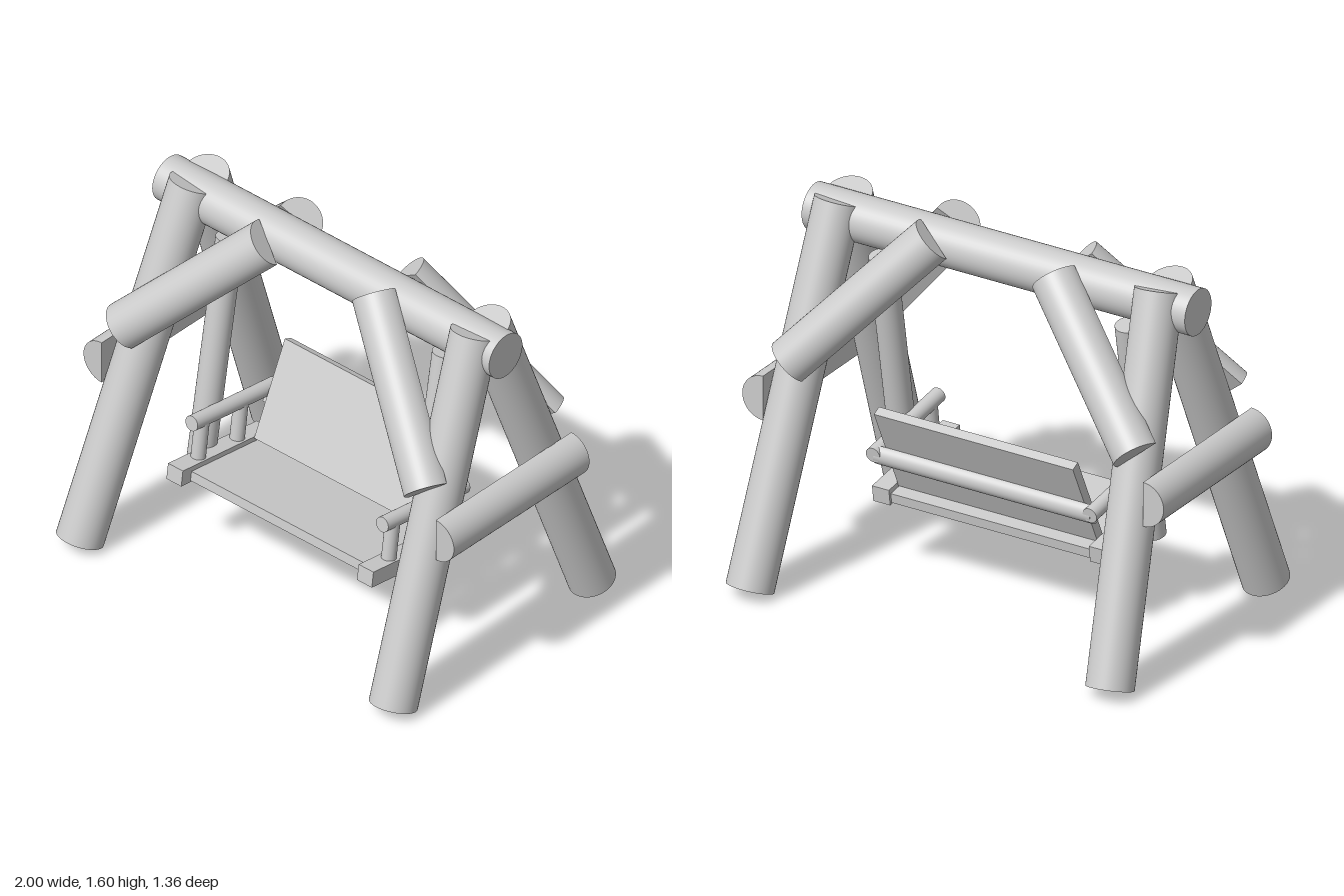
import * as THREE from 'three';
import { mergeGeometries } from 'three/addons/utils/BufferGeometryUtils.js';

const mat = new THREE.MeshStandardMaterial({ color: 0xcccccc });
const V = (x, y, z) => new THREE.Vector3(x, y, z);

function add(parent, name, geometry) {
  const mesh = new THREE.Mesh(geometry, mat);
  mesh.name = name;
  parent.add(mesh);
  return mesh;
}

// Round log running from a to b
function log(parent, name, a, b, r) {
  const mesh = add(parent, name, new THREE.CylinderGeometry(r, r, a.distanceTo(b), 40));
  mesh.position.copy(a).add(b).multiplyScalar(0.5);
  mesh.quaternion.setFromUnitVectors(V(0, 1, 0), b.clone().sub(a).normalize());
  return mesh;
}

// Split log: the flat face lies on the line a-b, the round side faces "out"
function halfLog(parent, name, a, b, r, out) {
  const len = a.distanceTo(b);
  const round = new THREE.CylinderGeometry(r, r, len, 24, 1, false, -Math.PI / 2, Math.PI);
  const flat = new THREE.PlaneGeometry(2 * r, len).rotateY(Math.PI);
  const mesh = add(parent, name, mergeGeometries([round, flat]));
  const y = b.clone().sub(a).normalize();
  const x = y.clone().cross(out).normalize();
  const z = x.clone().cross(y);
  mesh.quaternion.setFromRotationMatrix(new THREE.Matrix4().makeBasis(x, y, z));
  mesh.position.copy(a).add(b).multiplyScalar(0.5);
  return mesh;
}

function box(parent, name, w, h, d, x, y, z) {
  const mesh = add(parent, name, new THREE.BoxGeometry(w, h, d));
  mesh.position.set(x, y, z);
  return mesh;
}

// A-frame of logs
function createFrame() {
  const frame = new THREE.Group();
  frame.name = 'frame';
  log(frame, 'topBeam', V(-0.91, 1.484, 0), V(0.91, 1.484, 0), 0.1);

  // The two sides lean slightly differently
  const sides = [
    { s: -1, front: -0.86, back: -0.865, top: -0.747, braceLow: V(-0.84, 0.972, 0.35), braceHigh: V(-0.29, 1.515, 0.093) },
    { s: 1, front: 0.833, back: 0.845, top: 0.775, braceLow: V(0.808, 0.958, 0.352), braceHigh: V(0.29, 1.533, 0.088) },
  ];
  for (const { s, front, back, top, braceLow, braceHigh } of sides) {
    for (const f of [1, -1]) {
      const foot = f > 0 ? front : back;
      log(frame, f > 0 ? 'frontLeg' : 'backLeg', V(foot, 0.037, 0.587 * f), V(top, 1.559, 0.036 * f), 0.1);
      const flip = V(1, 1, f);
      halfLog(frame, 'cornerBrace', braceLow.clone().multiply(flip), braceHigh.clone().multiply(flip),
        0.1, V(0, 0.43, 0.9 * f));
    }
    halfLog(frame, 'sideRail', V(0.903 * s, 0.79, -0.4), V(0.903 * s, 0.79, 0.41), 0.098, V(s, 0, 0));
  }
  return frame;
}

// Bench, tipped back a little
function createBench() {
  const bench = new THREE.Group();
  bench.name = 'bench';
  bench.position.set(0, 0.382, 0.138);
  bench.rotation.x = THREE.MathUtils.degToRad(-8);

  box(bench, 'seat', 0.945, 0.043, 0.475, 0, -0.005, -0.022);
  for (const s of [-1, 1]) {
    const x = 0.515 * s;
    box(bench, 'seatRail', 0.08, 0.072, 0.535, x, 0, 0);
    log(bench, 'armrest', V(x, 0.212, -0.3), V(x, 0.212, 0.195), 0.033);
    for (const z of [0.13, -0.105]) log(bench, 'armPost', V(x, 0.03, z), V(x, 0.205, z), 0.031);
  }

  // Leaning backrest with a split log across its rear
  const rest = new THREE.Group();
  rest.name = 'backrest';
  rest.position.set(0, 0.234, -0.244);
  rest.rotation.x = THREE.MathUtils.degToRad(-17);
  box(rest, 'backPanel', 0.945, 0.435, 0.042, 0, 0, 0);
  halfLog(rest, 'backLog', V(-0.515, -0.03, -0.021), V(0.515, -0.03, -0.021), 0.046, V(0, 0, -1));
  bench.add(rest);
  return bench;
}

export function createModel() {
  const model = new THREE.Group();
  model.name = 'gardenSwing';
  model.add(createFrame(), createBench());
  // Poles hanging the bench from the beam
  for (const s of [-1, 1]) {
    log(model, 'hangingPole', V(0.585 * s, 0.345, 0.168), V(0.585 * s, 1.345, -0.005), 0.058);
  }
  return model;
}
